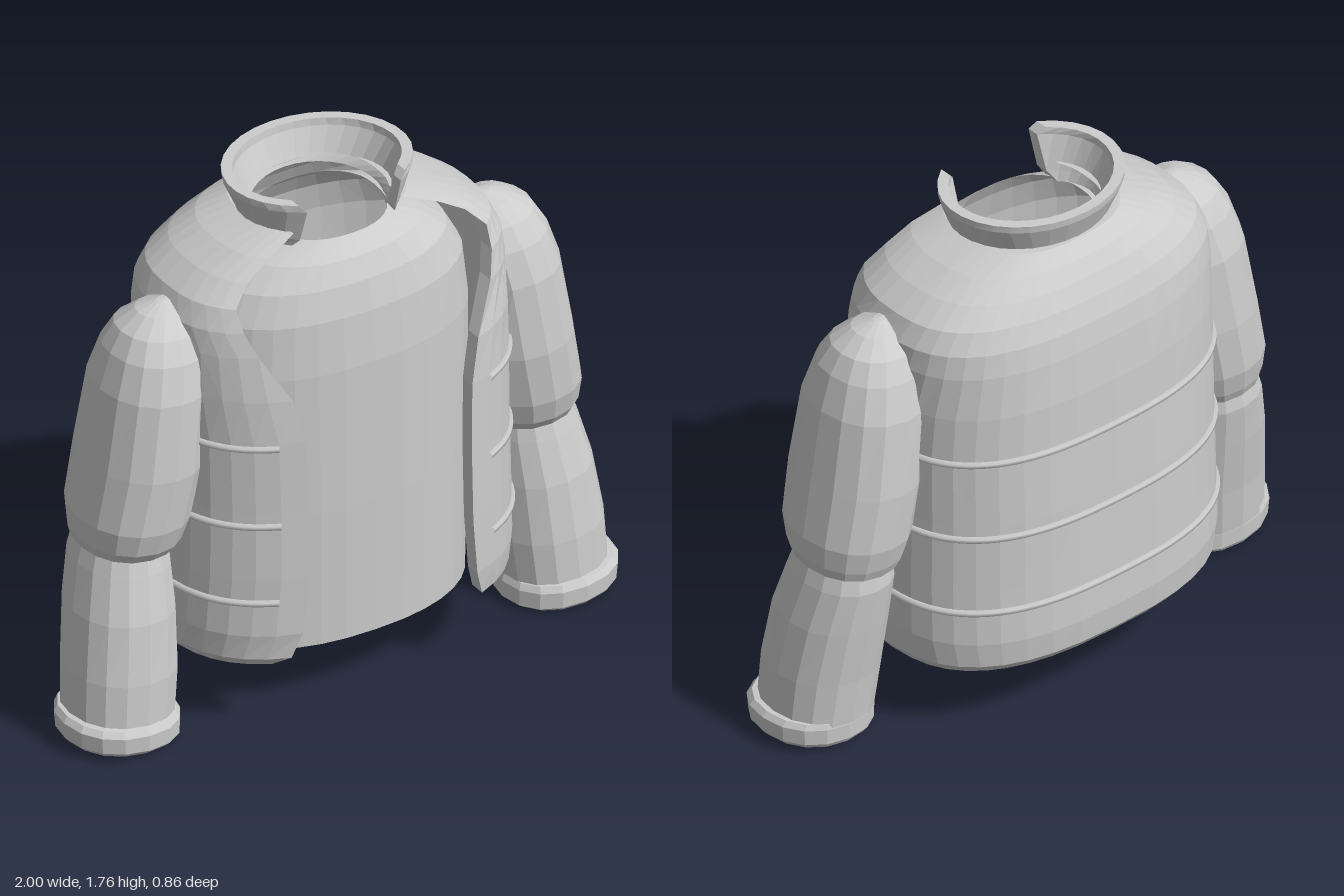
import * as THREE from 'three';

const fabric = new THREE.MeshStandardMaterial({ color: 0xcccccc, side: THREE.DoubleSide });
fabric.name = 'light grey fabric';

// Flat-shaded geometry from a list of quads (corners counter-clockwise)
function fromQuads(quads) {
  const pos = [];
  const a = new THREE.Vector3(), b = new THREE.Vector3();
  const tri = (p, q, r) => {
    if (a.subVectors(q, p).cross(b.subVectors(r, p)).length() < 1e-7) return;
    for (const v of [p, q, r]) pos.push(v.x, v.y, v.z);
  };
  for (const [p, q, r, s] of quads) { tri(p, q, r); tri(p, r, s); }
  const geo = new THREE.BufferGeometry();
  geo.setAttribute('position', new THREE.Float32BufferAttribute(pos, 3));
  geo.computeVertexNormals();
  return geo;
}

// Skin a stack of point rows
function skin(rows) {
  const quads = [];
  for (let i = 0; i + 1 < rows.length; i++)
    for (let j = 0; j + 1 < rows[i].length; j++)
      quads.push([rows[i][j], rows[i][j + 1], rows[i + 1][j + 1], rows[i + 1][j]]);
  return quads;
}

const spow = (v, e) => Math.sign(v) * Math.abs(v) ** e;

// Point on an open-fronted section: row = [y, halfWidth, zFront, zBack, openingHalfWidth, frontDrop]
function wrapPoint([y, a, zf, zb, edge, drop = 0], u, n, inset = 0) {
  const w = a - inset;
  const start = edge ? Math.asin(Math.min(1, edge / w) ** (n / 2)) : 0;
  const t = THREE.MathUtils.lerp(start, 2 * Math.PI - start, u);
  const c = spow(Math.cos(t), 2 / n);
  return new THREE.Vector3(
    w * spow(Math.sin(t), 2 / n),
    y - drop * (1 + Math.cos(t)) / 2,
    c > 0 ? c * (zf - inset) : -c * (zb + inset));
}

const ring = (row, n, segs, inset) =>
  Array.from({ length: segs + 1 }, (_, j) => wrapPoint(row, j / segs, n, inset));

// Thick open-fronted wrap with closed rims and front edges
function wrap(rows, n, segs, thickness) {
  const outer = rows.map((r) => ring(r, n, segs, 0));
  const inner = rows.map((r) => ring(r, n, segs, thickness));
  const quads = skin([...outer, ...inner.slice().reverse(), outer[0]]);
  for (let i = 0; i + 1 < rows.length; i++) {
    quads.push([outer[i][0], outer[i + 1][0], inner[i + 1][0], inner[i][0]]);
    quads.push([inner[i][segs], inner[i + 1][segs], outer[i + 1][segs], outer[i][segs]]);
  }
  return fromQuads(quads);
}

// Sleeve loft: rows = [y, xInner, xOuter, zFront, zBack], flattened where it meets the body
function sleeveLoft(rows, side, segs = 16) {
  const minX = 0.535, n = 2.2;
  return fromQuads(skin(rows.map(([y, xi, xo, zf, zb]) =>
    Array.from({ length: segs + 1 }, (_, j) => {
      const t = (j / segs) * 2 * Math.PI;
      const x = side * (xi + xo) / 2 + (xo - xi) / 2 * spow(Math.sin(t), 2 / n);
      const d = Math.max(minX, side * x);
      const z = (zf + zb) / 2 + (zf - zb) / 2 * spow(Math.cos(t), 2 / n);
      return new THREE.Vector3(side * d, y + 0.07 * (d - 0.8), z);
    }))));
}

const BODY_N = 2.6;
const bodyRows = [
  [0.235, 0.575, 0.41, -0.39, 0.39],
  [0.27, 0.60, 0.44, -0.42, 0.35],
  [0.36, 0.61, 0.45, -0.43, 0.32],
  [0.56, 0.605, 0.45, -0.425, 0.302],
  [0.80, 0.60, 0.445, -0.42, 0.30],
  [1.05, 0.60, 0.44, -0.41, 0.305],
  [1.20, 0.60, 0.43, -0.405, 0.34],
  [1.35, 0.60, 0.40, -0.39, 0.425],
  [1.43, 0.595, 0.375, -0.375, 0.455],
  [1.50, 0.56, 0.355, -0.35, 0.46],
  [1.56, 0.48, 0.32, -0.32, 0.40],
  [1.61, 0.385, 0.28, -0.285, 0.31],
  [1.65, 0.27, 0.22, -0.24, 0.20],
];

// Interpolated body section at height y
function bodyAt(y) {
  const i = bodyRows.findIndex((r) => r[0] > y);
  const [lo, hi] = [bodyRows[i - 1], bodyRows[i]];
  return lo.map((v, k) => THREE.MathUtils.lerp(v, hi[k], (y - lo[0]) / (hi[0] - lo[0])));
}

const collarRows = [
  [1.635, 0.255, 0.215, -0.225, 0.19, 0.06],
  [1.66, 0.27, 0.225, -0.235, 0.175, 0.05],
  [1.735, 0.31, 0.25, -0.265, 0.172],
  [1.76, 0.312, 0.25, -0.268, 0.195],
];

const shirtRows = [
  [0.225, 0.48, 0.335, -0.30],
  [0.70, 0.49, 0.335, -0.30],
  [1.20, 0.495, 0.33, -0.30],
  [1.38, 0.475, 0.315, -0.29],
  [1.48, 0.42, 0.29, -0.27],
  [1.55, 0.33, 0.255, -0.23],
  [1.60, 0.21, 0.20, -0.17],
];

const upperSleeveRows = [
  [0.665, 0.60, 0.865, 0.17, -0.13],
  [0.655, 0.585, 0.885, 0.195, -0.15],
  [0.69, 0.565, 0.895, 0.22, -0.165],
  [0.77, 0.54, 0.90, 0.243, -0.183],
  [0.96, 0.50, 0.867, 0.255, -0.187],
  [1.22, 0.47, 0.823, 0.237, -0.168],
  [1.34, 0.46, 0.785, 0.205, -0.135],
  [1.41, 0.47, 0.745, 0.165, -0.10],
  [1.46, 0.50, 0.68, 0.11, -0.045],
  [1.485, 0.54, 0.61, 0.05, 0.01],
  [1.488, 0.575, 0.575, 0.03, 0.03],
];

const lowerSleeveRows = [
  [0.09, 0.62, 0.97, 0.268, -0.085],
  [0.25, 0.603, 0.962, 0.262, -0.10],
  [0.45, 0.597, 0.935, 0.238, -0.128],
  [0.60, 0.597, 0.90, 0.20, -0.146],
  [0.70, 0.61, 0.87, 0.17, -0.13],
];

// Cuff: recessed closed end, rolled rim, outer band
const cuffRows = [
  [0.06, 0.805, 0.805, 0.105, 0.105],
  [0.06, 0.65, 0.955, 0.245, -0.045],
  [0.014, 0.65, 0.955, 0.245, -0.045],
  [0.014, 0.63, 0.98, 0.275, -0.07],
  [0.03, 0.61, 0.995, 0.29, -0.08],
  [0.085, 0.61, 1.0, 0.293, -0.083],
  [0.105, 0.62, 0.985, 0.28, -0.08],
  [0.11, 0.635, 0.95, 0.25, -0.06],
];

export function createModel() {
  const model = new THREE.Group();
  model.name = 'pufferJacket';
  const add = (name, geo, parent = model) => {
    const mesh = new THREE.Mesh(geo, fabric);
    mesh.name = name;
    parent.add(mesh);
  };

  // Body, collar and the shirt underneath
  add('jacketBody', wrap(bodyRows, BODY_N, 32, 0.05));
  add('collar', wrap(collarRows, 2, 24, 0.035));
  add('innerShirt', fromQuads(skin(shirtRows.map((r) => ring(r, 2.3, 36)))));

  // Quilting seams around the body
  [0.48, 0.755, 1.035].forEach((y, i) => {
    const path = new THREE.CatmullRomCurve3(ring(bodyAt(y), BODY_N, 32, 0).slice(1, -1));
    add('quiltSeam' + (i + 1), new THREE.TubeGeometry(path, 90, 0.012, 6));
  });

  // Sleeves
  for (const [name, side] of [['left', 1], ['right', -1]]) {
    const sleeve = new THREE.Group();
    sleeve.name = name + 'Sleeve';
    add(name + 'UpperSleeve', sleeveLoft(upperSleeveRows, side), sleeve);
    add(name + 'LowerSleeve', sleeveLoft(lowerSleeveRows, side), sleeve);
    add(name + 'Cuff', sleeveLoft(cuffRows, side), sleeve);
    model.add(sleeve);
  }
  return model;
}
